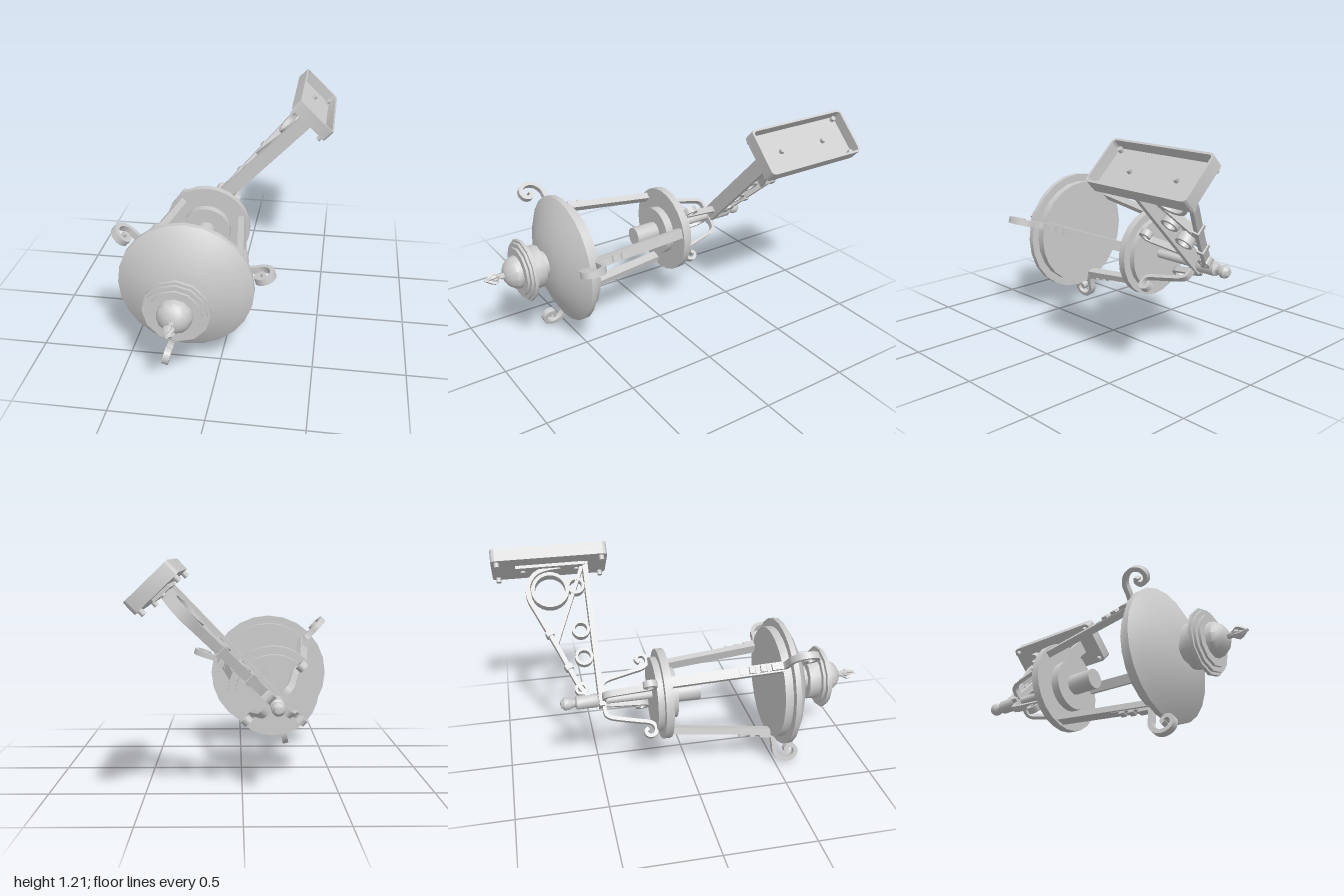
import * as THREE from 'three';
import { toCreasedNormals } from 'three/addons/utils/BufferGeometryUtils.js';

const grey = new THREE.MeshStandardMaterial({ color: 0xcccccc, side: THREE.DoubleSide });
const V = (p) => new THREE.Vector2(p[0], p[1]);

function add(parent, name, geometry) {
  const mesh = new THREE.Mesh(geometry, grey);
  mesh.name = name;
  parent.add(mesh);
  return mesh;
}

// Turned part around the z axis; profile is [radius, z] from back to front
function turned(profile, sides) {
  const g = new THREE.LatheGeometry(profile.map(V), sides);
  return toCreasedNormals(g.rotateX(Math.PI / 2), 0.6);
}

// Flat outline in the [radius, z] plane, given a width across that plane
function slab(outline, width) {
  const g = new THREE.ExtrudeGeometry(new THREE.Shape(outline), { depth: width, bevelEnabled: false });
  return g.translate(0, 0, -width / 2).rotateX(Math.PI / 2);
}

// Strap of even thickness following a path in the [radius, z] plane
function strap(path, thickness, width, smooth = true) {
  let pts = path.map(V);
  if (smooth) pts = new THREE.SplineCurve(pts).getPoints(path.length * 4);
  const near = [], far = [];
  pts.forEach((p, i) => {
    const a = pts[Math.max(i - 1, 0)], b = pts[Math.min(i + 1, pts.length - 1)];
    const d = b.clone().sub(a).normalize().multiplyScalar(thickness / 2);
    near.push(new THREE.Vector2(p.x - d.y, p.y + d.x));
    far.unshift(new THREE.Vector2(p.x + d.y, p.y - d.x));
  });
  return toCreasedNormals(slab(near.concat(far), width), 0.6);
}

// Open ring lying in the [radius, z] plane
function hoop(r, z, radius, thickness, width) {
  const shape = new THREE.Shape().absarc(r, z, radius, 0, Math.PI * 2);
  shape.holes.push(new THREE.Path().absarc(r, z, radius - thickness, 0, Math.PI * 2, true));
  const g = new THREE.ExtrudeGeometry(shape, { depth: width, bevelEnabled: false, curveSegments: 12 });
  return toCreasedNormals(g.translate(0, 0, -width / 2).rotateX(Math.PI / 2), 0.6);
}

function box(x0, x1, width, z0, z1) {
  return new THREE.BoxGeometry(x1 - x0, width, z1 - z0).translate((x0 + x1) / 2, 0, (z0 + z1) / 2);
}

function roundedRect(Path, w, h, r) {
  const p = new Path();
  const c = [[w / 2 - r, h / 2 - r], [r - w / 2, h / 2 - r], [r - w / 2, r - h / 2], [w / 2 - r, r - h / 2]];
  c.forEach(([x, y], i) => p.absarc(x, y, r, i * Math.PI / 2, (i + 1) * Math.PI / 2));
  p.closePath();
  return p;
}

function buildRoof(lantern) {
  add(lantern, 'roof', turned([
    [0, 0.47], [0.315, 0.47], [0.315, 0.515], [0.36, 0.515], [0.36, 0.545],
    [0.31, 0.575], [0.25, 0.602], [0.17, 0.635], [0.08, 0.65], [0, 0.652]], 24));
  add(lantern, 'roofCap', turned([
    [0, 0.64], [0.075, 0.64], [0.075, 0.685], [0.12, 0.685], [0.12, 0.75], [0.15, 0.75], [0.15, 0.765],
    [0.175, 0.765], [0.175, 0.783], [0.16, 0.783], [0.16, 0.797], [0.135, 0.797], [0.135, 0.81],
    [0.093, 0.81], [0.088, 0.84], [0.07, 0.865], [0.04, 0.886], [0, 0.892]], 12));
  add(lantern, 'finialStem', turned([
    [0, 0.88], [0.018, 0.885], [0.016, 0.92], [0.026, 0.935], [0.016, 0.96], [0, 1]], 8));
  // Crossed leaves of the front finial
  const leaf = [[0, 0.89], [0.02, 0.92], [0.034, 0.945], [0.026, 0.965], [0, 1],
    [-0.026, 0.965], [-0.034, 0.945], [-0.02, 0.92]].map(V);
  for (const a of [Math.PI / 4, -Math.PI / 4]) add(lantern, 'finialLeaf', slab(leaf, 0.014)).rotation.z = a;
}

function buildBase(lantern) {
  add(lantern, 'baseDisc', turned([
    [0, -0.2], [0.207, -0.2], [0.207, -0.165], [0.25, -0.165], [0.25, -0.122],
    [0.14, -0.122], [0.14, -0.075], [0, -0.075]], 24));
  add(lantern, 'lampHolder', turned([[0, -0.08], [0.056, -0.08], [0.056, 0.068], [0, 0.068]], 14));
  add(lantern, 'backRod', turned([[0, -0.5], [0.024, -0.5], [0.024, -0.19], [0, -0.19]], 12));
  add(lantern, 'backKnob', turned([
    [0, -0.705], [0.02, -0.7], [0.035, -0.682], [0.036, -0.66], [0.026, -0.64], [0.022, -0.625],
    [0.038, -0.615], [0.038, -0.505], [0.03, -0.495], [0, -0.495]], 12));
}

// Cage post with stepped ornament and curled hook
function buildPost() {
  const post = new THREE.Group();
  post.name = 'cagePost';
  add(post, 'post', strap([[0.215, -0.13], [0.295, 0.48]], 0.036, 0.055, false));
  add(post, 'steppedOrnament', slab([
    [0.25, 0.24], [0.285, 0.24], [0.29, 0.29], [0.305, 0.29], [0.305, 0.32], [0.295, 0.325], [0.3, 0.35],
    [0.315, 0.35], [0.315, 0.38], [0.305, 0.385], [0.31, 0.41], [0.325, 0.41], [0.33, 0.475], [0.28, 0.475],
  ].map(V), 0.036));
  add(post, 'hook', strap([
    [0.3, 0.45], [0.325, 0.482], [0.37, 0.492], [0.42, 0.497], [0.46, 0.525], [0.476, 0.57], [0.462, 0.61],
    [0.43, 0.625], [0.4, 0.611], [0.393, 0.583], [0.412, 0.565], [0.43, 0.575]], 0.024, 0.036));
  return post;
}

// Strap from the rod to the base disc, ending in a curl
function buildBackStay() {
  return strap([
    [0.015, -0.467], [0.075, -0.467], [0.1, -0.45], [0.115, -0.41], [0.14, -0.3], [0.155, -0.235], [0.175, -0.208],
    [0.205, -0.203], [0.23, -0.222], [0.228, -0.25], [0.205, -0.262], [0.188, -0.245]], 0.02, 0.036);
}

// Triangular scrolled arm, its length along local x
function buildArm(arm) {
  add(arm, 'frontBar', box(-0.04, 0.805, 0.085, -0.495, -0.465));
  add(arm, 'diagonalStrap', strap([
    [0.02, -0.545], [0.1, -0.595], [0.3, -0.675], [0.52, -0.77], [0.62, -0.81],
    [0.7, -0.805], [0.76, -0.76], [0.785, -0.69], [0.79, -0.62]], 0.024, 0.05));
  add(arm, 'innerStrap', strap([[0.34, -0.685], [0.795, -0.495]], 0.02, 0.045, false));
  add(arm, 'mountingPad', box(0.785, 0.806, 0.1, -0.87, -0.48));
  add(arm, 'largeRing', hoop(0.655, -0.69, 0.105, 0.02, 0.06));
  const rings = [[0.07, -0.58, 0.036], [0.25, -0.545, 0.05], [0.41, -0.545, 0.05], [0.67, -0.545, 0.05]];
  for (const [r, z, radius] of rings) add(arm, 'scrollRing', hoop(r, z, radius, 0.016, 0.05));
  // Collars clasping the diagonal
  for (const [r, z] of [[0.2, -0.635], [0.4, -0.718]]) {
    const collar = add(arm, 'collar', new THREE.BoxGeometry(0.03, 0.065, 0.04));
    collar.position.set(r, 0, z);
    collar.rotation.y = 0.4;
  }
}

// Shallow open-backed wall plate with bolts
function buildWallPlate(arm) {
  const plate = new THREE.Group();
  plate.name = 'wallPlate';
  plate.position.set(0.803, 0, -0.678);
  plate.rotation.y = Math.PI / 2;
  const rim = roundedRect(THREE.Shape, 0.644, 0.272, 0.025);
  rim.holes.push(roundedRect(THREE.Path, 0.62, 0.248, 0.018));
  const opts = { bevelEnabled: false, curveSegments: 5 };
  add(plate, 'plateRim', toCreasedNormals(new THREE.ExtrudeGeometry(rim, { ...opts, depth: 0.074 }), 0.6));
  add(plate, 'plateFloor', new THREE.ExtrudeGeometry(roundedRect(THREE.Shape, 0.63, 0.258, 0.02), { ...opts, depth: 0.01 }));
  const bolts = [[0.15, 0], [-0.15, 0]];
  for (const x of [-0.29, 0.29]) for (const y of [-0.108, 0.108]) bolts.push([x, y]);
  for (const [x, y] of bolts) {
    const bolt = add(plate, 'bolt', new THREE.CylinderGeometry(0.014, 0.014, 0.06, 10));
    bolt.rotation.x = Math.PI / 2;
    bolt.position.set(x, y, 0.002);
  }
  arm.add(plate);
}

export function createModel() {
  const model = new THREE.Group();
  model.name = 'wallLantern';
  const lantern = new THREE.Group();
  lantern.name = 'lantern';
  lantern.position.set(-0.175, 0.48, 0);
  model.add(lantern);

  buildRoof(lantern);
  buildBase(lantern);
  for (let i = 0; i < 3; i++) {
    const post = buildPost();
    post.rotation.z = THREE.MathUtils.degToRad(16 + 120 * i);
    lantern.add(post);
  }
  for (let i = 0; i < 4; i++) add(lantern, 'backStay', buildBackStay()).rotation.z = Math.PI / 4 + i * Math.PI / 2;

  const arm = new THREE.Group();
  arm.name = 'wallArm';
  arm.rotation.z = THREE.MathUtils.degToRad(46.3);
  buildArm(arm);
  buildWallPlate(arm);
  lantern.add(arm);
  return model;
}
